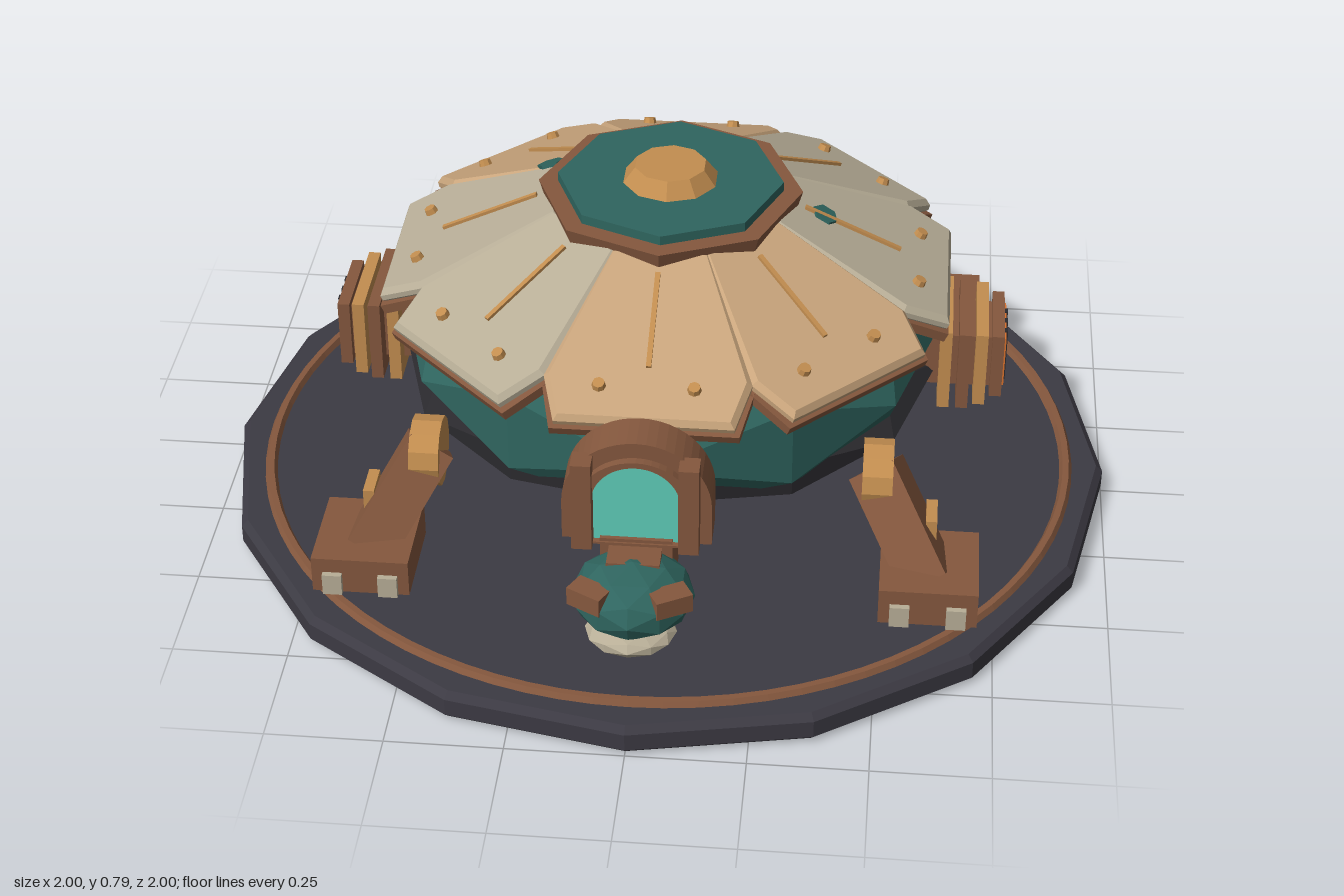
import * as THREE from 'three';

const mat = (name, color) => {
  const m = new THREE.MeshStandardMaterial({ color, flatShading: true });
  m.name = name;
  return m;
};

export function createModel() {
  const charcoal = mat('charcoal', 0x3c3a43), black = mat('black', 0x2a292d), teal = mat('teal', 0x2f655f);
  const brown = mat('brown leather', 0x85583e), ochre = mat('ochre brass', 0xc38e50), tan = mat('warm tan', 0xc9a57c);
  const beige = mat('grey beige', 0xb8ae97), cyan = mat('cyan glass', 0x5fcdb9), orange = mat('glowing orange', 0xd8702c);

  const root = new THREE.Group();
  root.name = 'shellWalker';

  const add = (parent, name, geo, material, x = 0, y = 0, z = 0) => {
    const m = new THREE.Mesh(geo, material);
    m.name = name;
    m.position.set(x, y, z);
    parent.add(m);
    return m;
  };
  const group = (parent, name) => {
    const g = new THREE.Group();
    g.name = name;
    parent.add(g);
    return g;
  };
  const box = (w, h, d) => new THREE.BoxGeometry(w, h, d);
  const ball = (rx, ry, rz) => new THREE.IcosahedronGeometry(1, 1).scale(rx, ry, rz);
  const cyl = (a, b, h, n) => new THREE.CylinderGeometry(a, b, h, n);

  // Display base with inlaid ring
  const rim = [[0, 0], [0.985, 0], [1, 0.015], [1, 0.055], [0.985, 0.07], [0, 0.07]].map(p => new THREE.Vector2(...p));
  add(root, 'base', new THREE.LatheGeometry(rim, 16), charcoal);
  add(root, 'baseRing', new THREE.TorusGeometry(0.915, 0.014, 6, 80).rotateX(Math.PI / 2), brown, 0, 0.07, 0);

  // Body and dark belly band
  const body = group(root, 'body');
  body.position.z = -0.05;
  add(body, 'hull', ball(0.61, 0.305, 0.615), teal, 0, 0.4, 0);
  add(body, 'bellyBand', ball(0.61, 0.12, 0.592), black, 0, 0.3, 0);

  // Roof cap
  add(body, 'capRim', cyl(0.293, 0.28, 0.045, 8), brown, 0, 0.712, 0);
  add(body, 'capDisc', cyl(0.25, 0.25, 0.022, 8), teal, 0, 0.745, 0);
  add(body, 'capKnob', cyl(0.08, 0.108, 0.037, 10), ochre, 0, 0.773, 0);

  // Eight sloping shell plates; plate-local y runs down the slope, -z is outward
  const slope = 0.43;
  const outline = grow => new THREE.Shape([
    [-0.1, 0], [0.1, 0], [0.207 + grow, 0.31], [0.18 + grow, 0.408 + grow],
    [-0.18 - grow, 0.408 + grow], [-0.207 - grow, 0.31],
  ].map(p => new THREE.Vector2(...p)));
  const plateGeo = new THREE.ExtrudeGeometry(outline(0), {
    depth: 0.012, bevelEnabled: true, bevelThickness: 0.012, bevelSize: 0.012, bevelSegments: 1,
  }).translate(0, 0, 0.012);
  const liningGeo = new THREE.ExtrudeGeometry(outline(0.019), { depth: 0.022, bevelEnabled: false });
  const rivetGeo = cyl(0.013, 0.016, 0.016, 8).rotateX(Math.PI / 2);
  const patch = new THREE.Shape([[-0.03, 0.012], [-0.008, 0.03], [0.024, 0.022], [0.032, -0.008], [0.006, -0.03], [-0.022, -0.02]]
    .map(p => new THREE.Vector2(...p)));
  const patchGeo = new THREE.ExtrudeGeometry(patch, { depth: 0.008, bevelEnabled: false });
  for (let i = 0; i < 8; i++) {
    const turn = group(body, 'shellSection');
    turn.rotation.y = i * Math.PI / 4;
    const p = group(turn, 'shellPlate');
    p.position.set(0, 0.715, 0.25);
    p.rotation.x = Math.PI / 2 + slope;
    add(p, 'plate', plateGeo, [0, 1, 4, 5].includes(i) ? tan : beige);
    add(p, 'plateLining', liningGeo, brown, 0, 0, 0.03);
    add(p, 'centreRod', box(0.011, 0.235, 0.014), ochre, 0, 0.17, 0);
    for (const s of [-1, 1]) add(p, 'rivet', rivetGeo, ochre, s * 0.1, 0.336, -0.005).rotation.x = Math.PI;
    if (i === 2) add(p, 'tealPatch', patchGeo, teal, 0.005, 0.1, -0.006);
    if (i === 5) add(p, 'tealPatch', patchGeo, teal, 0.1, 0.055, -0.006);
  }

  // Arched window at the front
  const arch = (w, bottom, centre) => {
    const s = new THREE.Shape();
    s.moveTo(-w, bottom);
    s.lineTo(w, bottom);
    s.lineTo(w, centre);
    s.absarc(0, centre, w, 0, Math.PI, false);
    s.closePath();
    return s;
  };
  const solid = (shape, depth) => new THREE.ExtrudeGeometry(shape, { depth, bevelEnabled: false, curveSegments: 12 });
  const porch = group(root, 'frontWindow');
  add(porch, 'archBack', solid(arch(0.155, 0.345, 0.435), 0.09), brown, 0, 0, 0.636);
  const frame = arch(0.125, 0.345, 0.43);
  frame.holes.push(arch(0.092, 0.35, 0.45));
  add(porch, 'archFrame', solid(frame, 0.02), brown, 0, 0, 0.724);
  add(porch, 'glass', solid(arch(0.094, 0.345, 0.453), 0.009), cyan, 0, 0, 0.722);
  for (const s of [-1, 1]) add(porch, 'pillar', box(0.042, 0.21, 0.05), brown, s * 0.11, 0.45, 0.74);
  add(porch, 'neck', box(0.15, 0.155, 0.15), brown, 0, 0.28, 0.665);

  // Head
  const head = group(root, 'head');
  add(head, 'skull', ball(0.128, 0.078, 0.125), teal, 0, 0.273, 0.805);
  add(head, 'jaw', ball(0.095, 0.032, 0.085), beige, 0, 0.215, 0.852);
  add(head, 'crest', box(0.11, 0.02, 0.06), brown, 0, 0.338, 0.78);
  for (const s of [-1, 1]) {
    add(head, 'brow', box(0.08, 0.042, 0.05), brown, s * 0.082, 0.308, 0.87).rotation.y = s * 0.5;
  }

  // Four legs
  const up = new THREE.Vector3(0, 1, 0);
  for (const sx of [-1, 1]) for (const sz of [-1, 1]) {
    const leg = group(root, (sz > 0 ? 'front' : 'back') + (sx > 0 ? 'LeftLeg' : 'RightLeg'));
    const top = new THREE.Vector3(sx * 0.49, 0.31, sz * 0.4), foot = new THREE.Vector3(sx * 0.6, 0.14, sz * 0.52);
    const dir = foot.clone().sub(top);
    const shin = add(leg, 'shin', box(0.105, dir.length() + 0.03, 0.105), brown);
    shin.position.copy(top).lerp(foot, 0.5);
    shin.quaternion.setFromUnitVectors(up, dir.normalize());
    add(leg, 'hipJoint', cyl(0.077, 0.077, 0.065, 12).rotateZ(Math.PI / 2), ochre, sx * 0.488, 0.305, sz * 0.395);
    add(leg, 'kneePlate', box(0.024, 0.06, 0.08), ochre, sx * 0.607, 0.225, sz * 0.45);
    add(leg, 'foot', box(0.21, 0.085, 0.22), brown, sx * 0.607, 0.13, sz * 0.52);
    for (const t of [-1, 1]) add(leg, 'toe', box(0.042, 0.05, 0.03), beige, sx * 0.607 + t * 0.06, 0.113, sz * 0.628);
  }

  // Stepped side vents with glowing grilles
  const ribs = [[0.625, 0.2, 0.24], [0.667, 0.196, 0.245], [0.705, 0.185, 0.225], [0.742, 0.16, 0.19]];
  for (const s of [-1, 1]) {
    const vent = group(root, s > 0 ? 'leftVent' : 'rightVent');
    vent.position.set(0, 0.333, -0.09);
    add(vent, 'ventCore', box(0.2, 0.13, 0.15), brown, s * 0.64, 0, 0);
    ribs.forEach(([x, h, d], i) => add(vent, 'ventRib', box(0.027, h, d), i % 2 ? brown : ochre, s * x, 0, 0));
    add(vent, 'ventGlow', box(0.006, 0.125, 0.15), orange, s * 0.757, 0, 0);
    for (let i = -1; i <= 1; i++) add(vent, 'ventBar', box(0.009, 0.13, 0.015), black, s * 0.759, 0, i * 0.04);
  }
  return root;
}
